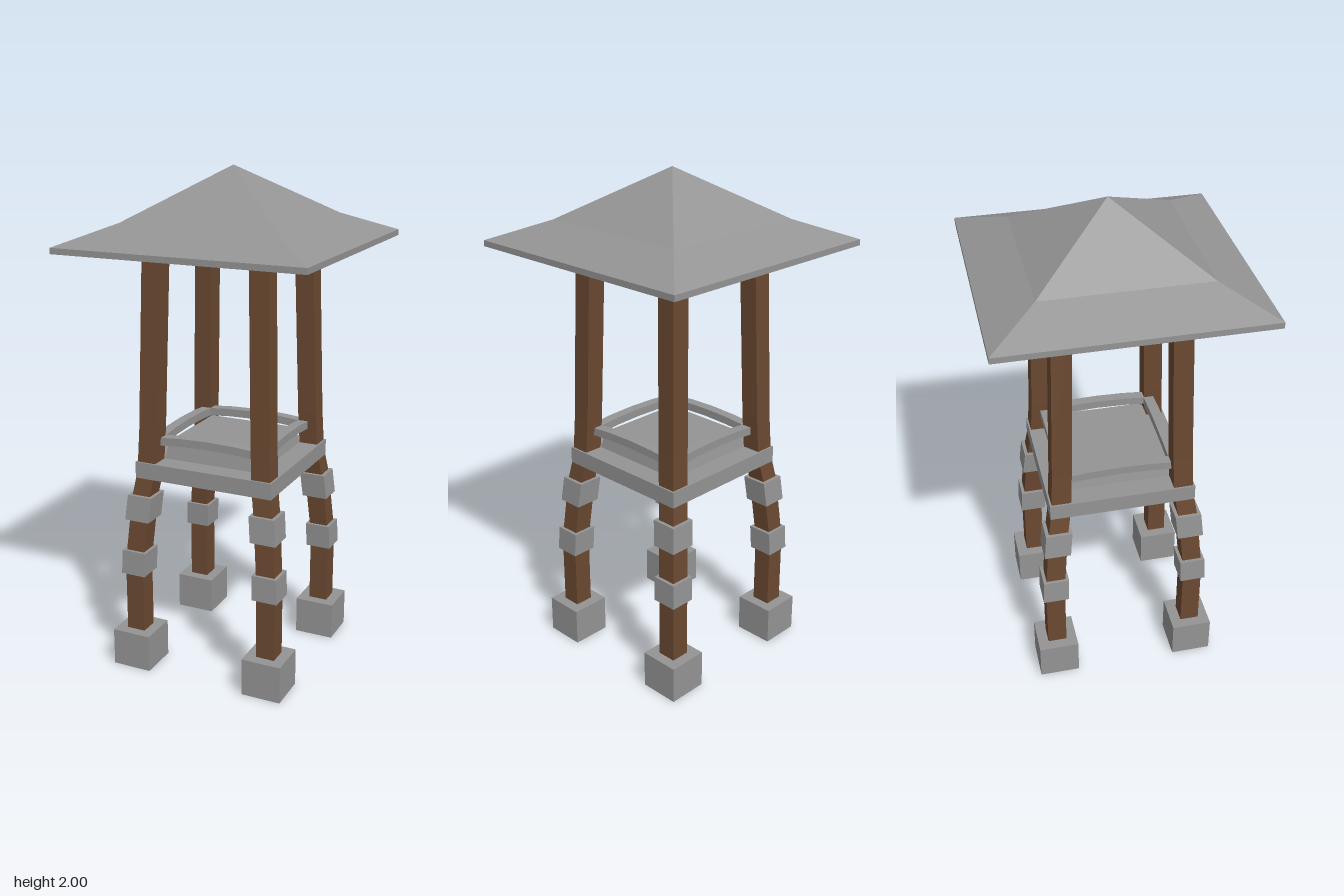
import * as THREE from 'three';

const stone = new THREE.MeshStandardMaterial({ color: 0x949494, flatShading: true });
const wood = new THREE.MeshStandardMaterial({ color: 0x6b4931, flatShading: true });

// Leg centre line: [height, distance from the axis in both x and z]
const legPath = [[0.1, 0.287], [0.45, 0.287], [0.72, 0.264], [0.83, 0.246], [1.0, 0.238], [1.76, 0.217]];

function offsetAt(y) {
  for (let i = 1; i < legPath.length; i++) {
    const [y0, d0] = legPath[i - 1], [y1, d1] = legPath[i];
    if (y <= y1) return THREE.MathUtils.lerp(d0, d1, Math.max(0, (y - y0) / (y1 - y0)));
  }
  return legPath[legPath.length - 1][1];
}

function add(parent, name, geometry, material) {
  const mesh = new THREE.Mesh(geometry, material);
  mesh.name = name;
  parent.add(mesh);
  return mesh;
}

// Square post that follows the leg line through the given heights
function post(width, heights, sx, sz) {
  const n = heights.length - 1;
  const geo = new THREE.BoxGeometry(width, 1, width, 1, n, 1);
  const p = geo.attributes.position;
  for (let i = 0; i < p.count; i++) {
    const y = heights[Math.round((p.getY(i) + 0.5) * n)];
    const d = offsetAt(y);
    p.setXYZ(i, p.getX(i) + sx * d, y, p.getZ(i) + sz * d);
  }
  geo.computeVertexNormals();
  return geo;
}

// Four-sided solid from a profile of [half width, height]
function square(profile) {
  const points = profile.map(([w, y]) => new THREE.Vector2(w * Math.SQRT2, y));
  return new THREE.LatheGeometry(points, 4, Math.PI / 4);
}

function squareRing(inner, outer, y0, y1) {
  return square([[inner, y0], [outer, y0], [outer, y1], [inner, y1], [inner, y0]]);
}

// Rail with a gentle upward bow
function bowedRail(length, height, depth, rise) {
  const geo = new THREE.BoxGeometry(length, height, depth, 4, 1, 1);
  const p = geo.attributes.position;
  for (let i = 0; i < p.count; i++) {
    const t = p.getX(i) / (length / 2);
    p.setY(i, p.getY(i) + rise * (1 - t * t));
  }
  geo.computeVertexNormals();
  return geo;
}

export function createModel() {
  const model = new THREE.Group();
  model.name = 'watchtower';

  // Four bent legs with footings and cuffs
  for (const sx of [1, -1]) for (const sz of [1, -1]) {
    const leg = new THREE.Group();
    leg.name = (sz > 0 ? 'front' : 'back') + (sx > 0 ? 'Left' : 'Right') + 'Leg';
    add(leg, 'post', post(0.077, legPath.map((k) => k[0]), sx, sz), wood);
    add(leg, 'footing', post(0.162, [0, 0.153], sx, sz), stone);
    add(leg, 'lowerCuff', post(0.103, [0.4, 0.5], sx, sz), stone);
    add(leg, 'upperCuff', post(0.105, [0.63, 0.733], sx, sz), stone);
    model.add(leg);
  }

  // Platform: outer band, timber lining and tapered floor
  add(model, 'platformBand', squareRing(0.2, 0.29, 0.802, 0.868), stone);
  add(model, 'platformLining', squareRing(0.19, 0.2, 0.804, 0.87), wood);
  add(model, 'floor', square([[0, 0.866], [0.205, 0.866], [0.19, 0.937], [0, 0.937]]), stone);

  // Bowed rails between the legs
  for (let i = 0; i < 4; i++) {
    const rail = new THREE.Group();
    rail.name = 'rail' + (i + 1);
    rail.rotation.y = i * Math.PI / 2;
    add(rail, 'railBar', bowedRail(0.47, 0.032, 0.042, 0.013), stone).position.set(0, 0.946, 0.22);
    model.add(rail);
  }

  // Flared roof with a recessed ceiling
  add(model, 'roof', square([
    [0, 1.75], [0.35, 1.75], [0.425, 1.702], [0.5, 1.702], [0.5, 1.725], [0.315, 1.803], [0, 2],
  ]), stone);

  return model;
}
